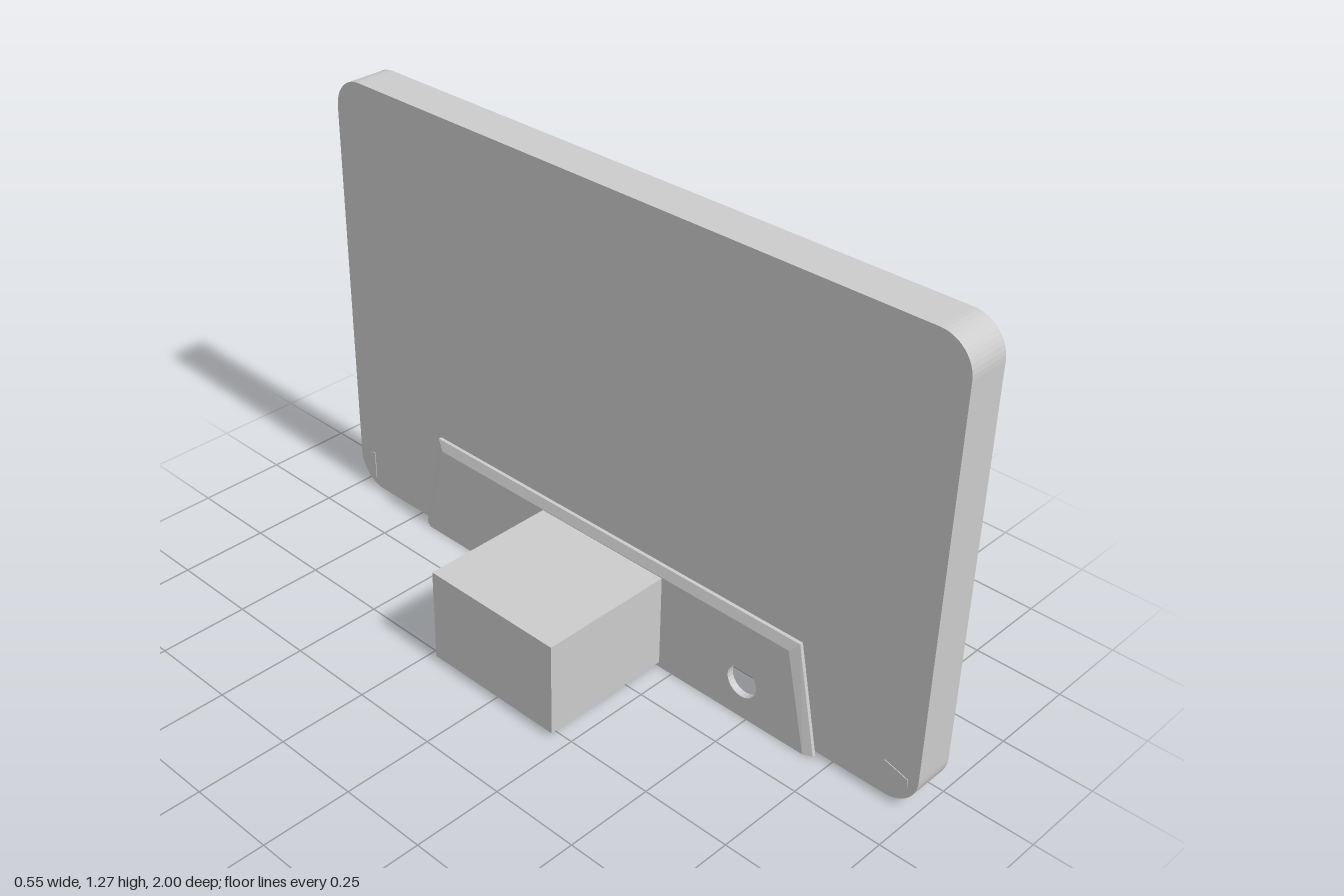
import * as THREE from 'three';

const MID = 0.193;   // x of the cassette's middle plane
const HALF = 0.059;  // half thickness of the body
const PLATE = 0.02;  // thickness of the raised trapezoid

const mat = new THREE.MeshStandardMaterial({ color: 0xcccccc, side: THREE.DoubleSide });

function add(parent, name, geometry) {
  const mesh = new THREE.Mesh(geometry, mat);
  mesh.name = name;
  parent.add(mesh);
  return mesh;
}

// Extrude a shape drawn in (-z, y) along +x, starting at x = from
function slab(shape, from, depth, steps = 1, curveSegments = 6) {
  const g = new THREE.ExtrudeGeometry(shape, { depth, steps, curveSegments, bevelEnabled: false });
  g.rotateY(Math.PI / 2);
  g.translate(from, 0, 0);
  return g;
}

function circle(PathType, u, v, r) {
  const p = new PathType();
  p.absarc(u, v, r, 0, Math.PI * 2, false);
  return p;
}

function roundedRect(w, y0, y1, r) {
  const s = new THREE.Shape();
  s.absarc(w - r, y0 + r, r, -Math.PI / 2, 0);
  s.absarc(w - r, y1 - r, r, 0, Math.PI / 2);
  s.absarc(-w + r, y1 - r, r, Math.PI / 2, Math.PI);
  s.absarc(-w + r, y0 + r, r, Math.PI, Math.PI * 1.5);
  return s;
}

// Body outline with the open notch in its lower edge
function bodyShape() {
  const s = roundedRect(1, 0.012, 1.272, 0.09);
  s.lineTo(-0.68, 0.012);
  s.lineTo(-0.62, 0.285);
  s.lineTo(0.62, 0.285);
  s.lineTo(0.68, 0.012);
  s.closePath();
  return s;
}

// Raised trapezoid with chamfered top and sides, and one round hole
function trapezoid(holeU, holeV) {
  const s = new THREE.Shape();
  s.moveTo(-0.705, 0);
  s.lineTo(0.705, 0);
  s.lineTo(0.64, 0.312);
  s.lineTo(-0.64, 0.312);
  s.closePath();
  s.holes.push(circle(THREE.Path, holeU, holeV, 0.046));
  const g = slab(s, HALF, PLATE, 2, 12);
  const p = g.attributes.position;
  for (let i = 0; i < p.count; i++) {
    if (p.getX(i) < HALF + PLATE * 0.9 || Math.abs(p.getZ(i)) < 0.6) continue;
    p.setZ(i, p.getZ(i) - Math.sign(p.getZ(i)) * 0.025);
    if (p.getY(i) > 0.2) p.setY(i, 0.285);
  }
  g.computeVertexNormals();
  return g;
}

// Shallow screw head cut off along one chord
function screwHead(u, v, r, start, end) {
  const s = new THREE.Shape();
  s.absarc(u, v, r, start, end, false);
  s.closePath();
  return slab(s, HALF - 0.004, 0.006, 1, 10);
}

// Raised parts on one face, built for a body centred on x = 0
function faceDetails(name, holeU, holeV) {
  const face = new THREE.Group();
  face.name = name;
  add(face, 'trapezoidPlate', trapezoid(holeU, holeV));
  add(face, 'lowerScrewA', screwHead(-0.938, 0.082, 0.042, Math.PI / 2, Math.PI * 1.5));
  add(face, 'lowerScrewB', screwHead(0.93, 0.08, 0.043, Math.PI * 0.72, Math.PI * 2.1));
  face.position.x = MID;
  return face;
}

export function createModel() {
  const model = new THREE.Group();
  model.name = 'cassette';

  add(model, 'body', slab(bodyShape(), MID - HALF, HALF * 2));

  const front = faceDetails('windowFace', 0, 0.22);
  model.add(front);
  const back = faceDetails('plainFace', 0.48, 0.11);
  back.rotation.y = Math.PI;
  model.add(back);

  // Upper screw, mostly sunk into the face
  add(front, 'upperScrew', screwHead(0.932, 1.234, 0.034, 0.1, Math.PI - 0.1)).scale.set(1, 1, 1);

  // Window with two reel openings, almost flush with the face
  const win = roundedRect(0.595, 0.54, 0.872, 0.03);
  for (const u of [-0.43, 0.43]) win.holes.push(circle(THREE.Path, u, 0.71, 0.125));
  add(front, 'window', slab(win, HALF - 0.001, 0.003, 1, 16));

  // Block that passes through the lower edge and stands out at the back
  const x0 = -0.275, x1 = MID + HALF - 0.001;
  const block = add(model, 'block', new THREE.BoxGeometry(x1 - x0, 0.268, 0.425));
  block.position.set((x0 + x1) / 2, 0.149, -0.006);

  return model;
}
